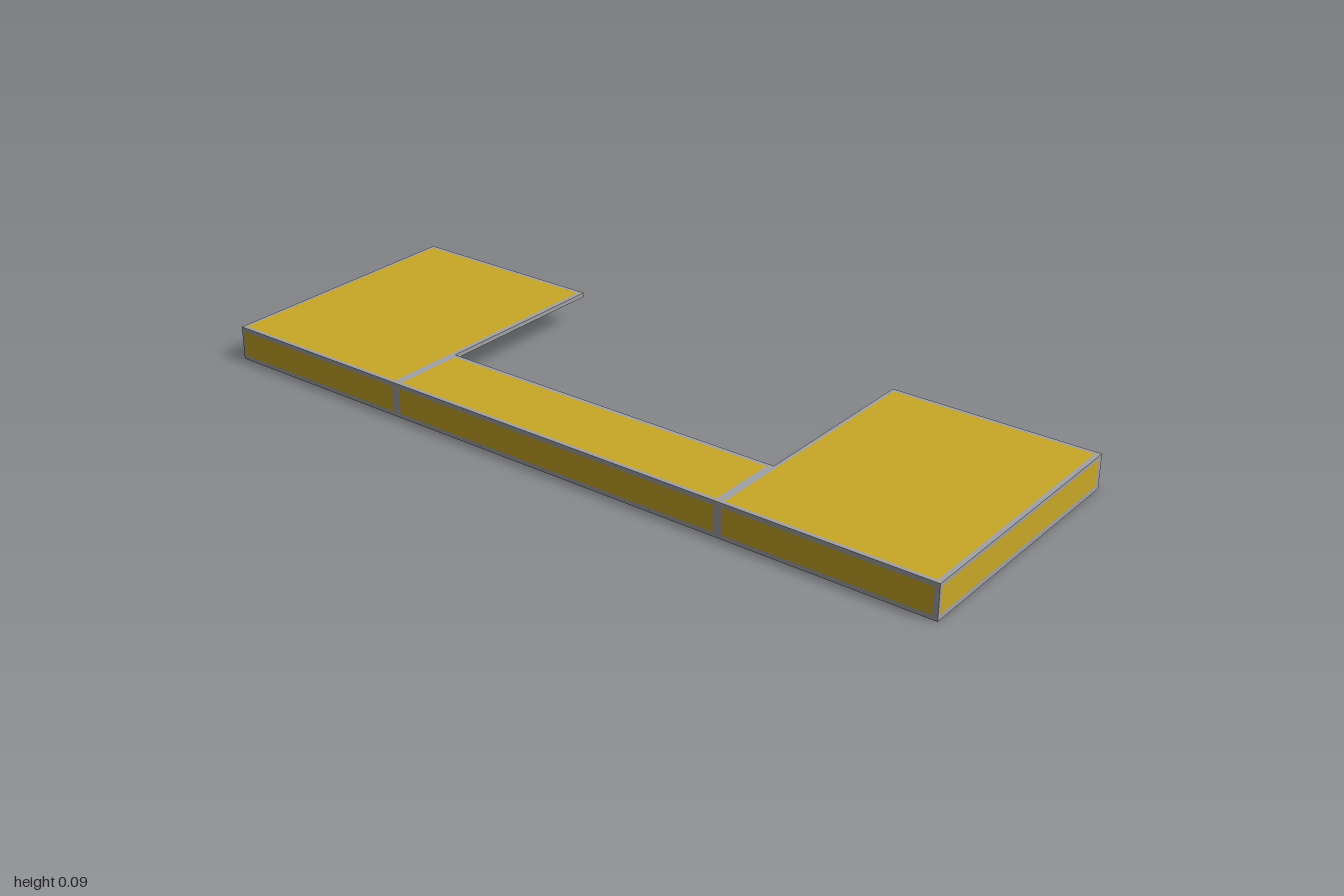
import * as THREE from 'three';

const material = (name, color) => {
  const m = new THREE.MeshStandardMaterial({ color });
  m.name = name;
  return m;
};

export function createModel() {
  const yellow = material('yellow facing', 0xc9a827);
  const brown = material('brown underside', 0xa8733f);
  const grey = material('grey trim', 0xa2a2a4);
  const T = 0.011; // trim bar thickness
  const P = 0.006; // plate thickness
  const H = 0.087, Z = 0.346, INNER = 0.467, BACK = 0.142;

  const model = new THREE.Group();
  model.name = 'canopy';

  // Axis-aligned box between two corners
  function box(name, lo, hi, mat) {
    const size = hi.map((v, i) => v - lo[i]);
    const mesh = new THREE.Mesh(new THREE.BoxGeometry(...size), mat);
    mesh.position.set(...lo.map((v, i) => (v + hi[i]) / 2));
    mesh.name = name;
    return mesh;
  }

  // Framed panel: plate flush with the outer side (sign along axis), four trim bars around it
  function panel(name, lo, hi, axis, sign) {
    const group = new THREE.Group();
    group.name = name;
    const plateLo = [...lo], plateHi = [...hi];
    [0, 1, 2].filter((i) => i !== axis).forEach((i) => {
      const lowEnd = [...hi], highStart = [...lo];
      lowEnd[i] = lo[i] + T;
      highStart[i] = hi[i] - T;
      group.add(box('trimBar', lo, lowEnd, grey), box('trimBar', highStart, hi, grey));
      plateLo[i] += T;
      plateHi[i] -= T;
    });
    if (sign > 0) plateLo[axis] = hi[axis] - P;
    else plateHi[axis] = lo[axis] + P;
    const faces = Array(6).fill(grey);
    faces[axis * 2 + (sign > 0 ? 0 : 1)] = yellow;
    faces[axis * 2 + (sign > 0 ? 1 : 0)] = brown;
    group.add(box('plate', plateLo, plateHi, faces));
    model.add(group);
  }

  // Top and front fascia of the two wings and the narrow bridge between them
  const sections = [
    ['rightWing', -1, -INNER, -Z],
    ['bridge', -INNER, INNER, BACK],
    ['leftWing', INNER, 1, -Z],
  ];
  for (const [name, x0, x1, z0] of sections) {
    panel(name + 'Top', [x0, H - T, z0], [x1, H, Z], 1, 1);
    panel(name + 'FrontFascia', [x0, 0, Z - T], [x1, H, Z], 2, 1);
  }

  // Outer side fascias
  panel('rightSideFascia', [-1, 0, -Z], [-1 + T, H, Z], 0, -1);
  panel('leftSideFascia', [1 - T, 0, -Z], [1, H, Z], 0, 1);

  return model;
}
